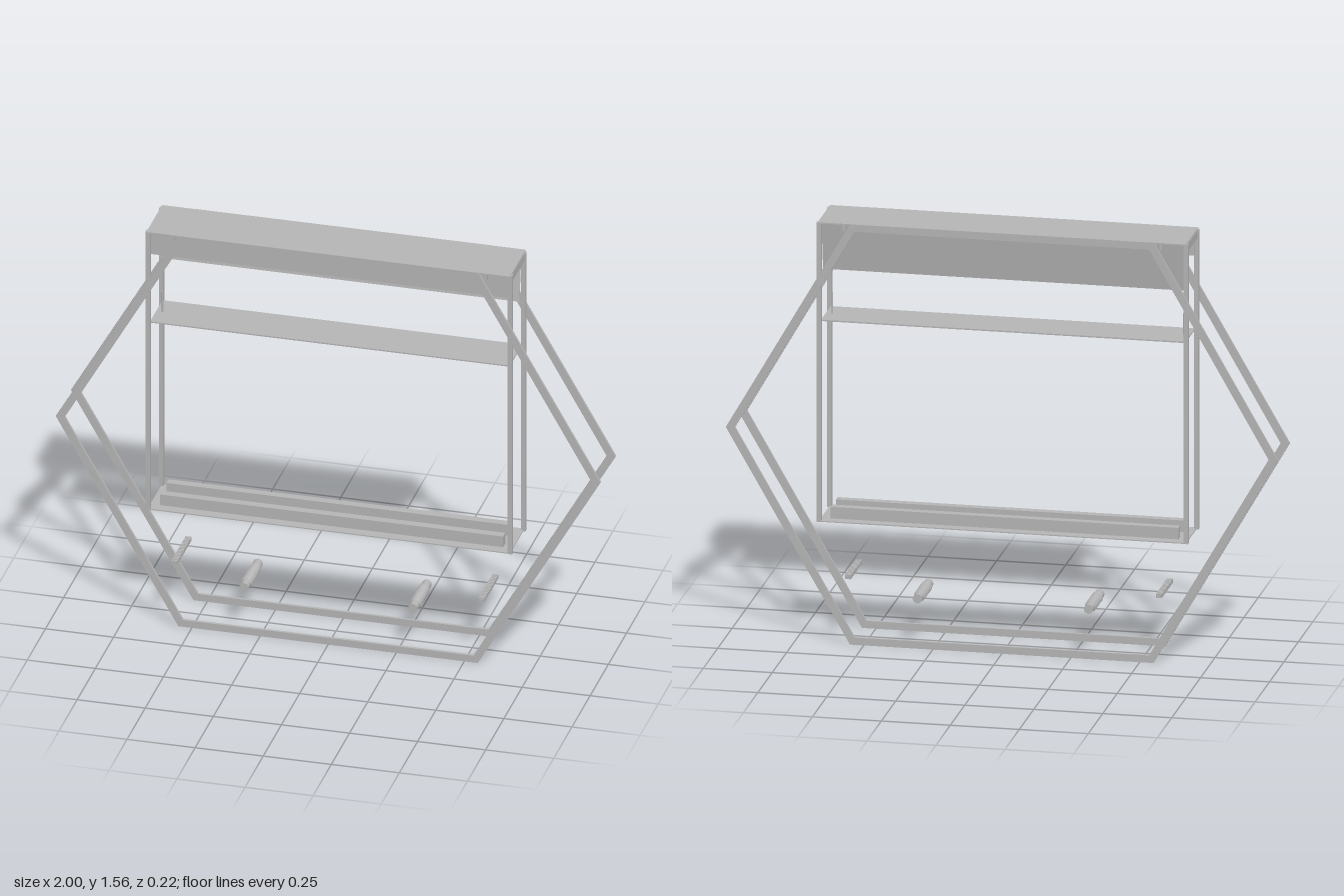
import * as THREE from 'three';

export function createModel() {
  const model = new THREE.Group();
  const grey = new THREE.MeshStandardMaterial({ color: 0xb4b4b4 });
  grey.name = 'metal grey';

  const add = (name, geometry, x = 0, y = 0, z = 0, parent = model) => {
    const mesh = new THREE.Mesh(geometry, grey);
    mesh.name = name;
    mesh.position.set(x, y, z);
    parent.add(mesh);
    return mesh;
  };
  const box = (name, w, h, d, x, y, z, parent) =>
    add(name, new THREE.BoxGeometry(w, h, d), x, y, z, parent);

  // Hexagonal frames, front and back
  const MID = 0.779;
  const hexPoints = (side, corner, half) => [
    [side, 0], [corner, half], [-corner, half], [-side, 0], [-corner, -half], [corner, -half],
  ].map(([x, y]) => new THREE.Vector2(x, y + MID));
  const hexagon = new THREE.Shape(hexPoints(1, 0.55, MID));
  hexagon.holes.push(new THREE.Path(hexPoints(0.967, 0.534, MID - 0.027)));
  const hexGeometry = new THREE.ExtrudeGeometry(hexagon, { depth: 0.01, bevelEnabled: false });
  add('frontHexagonFrame', hexGeometry, 0, 0, 0.099);
  add('backHexagonFrame', hexGeometry, 0, 0, -0.109);

  // Corner posts and top cross bars
  for (const sx of [-1, 1]) {
    for (const sz of [-1, 1]) {
      box('cornerPost', 0.016, 1.11, 0.016, sx * 0.665, 1.0, sz * 0.092);
      // Small hanging tab under the cover
      box('coverTab', 0.012, 0.026, 0.014, sx * 0.575, 1.54, sz * 0.09);
    }
    box('topCrossBar', 0.012, 0.028, 0.17, sx * 0.663, 1.539, 0);
    // Pin standing on the shelf
    add('shelfPin', new THREE.CylinderGeometry(0.003, 0.003, 0.08, 8), sx * 0.637, 1.23, 0);
  }

  // Cover, upright front panel and leaning back panel
  box('topCover', 1.335, 0.005, 0.216, 0, 1.5555, 0);
  box('frontPanel', 1.315, 0.094, 0.003, 0, 1.507, 0.083);
  const leaning = box('leaningBackPanel', 1.315, 0.178, 0.003, 0, 1.461, -0.072);
  leaning.rotation.x = -Math.atan2(0.025, 0.178);

  // Shelf and base plate with its two rails
  box('shelf', 1.32, 0.005, 0.17, 0, 1.188, 0);
  box('basePlate', 1.33, 0.004, 0.196, 0, 0.447, 0);
  for (const sz of [-1, 1]) box('baseRail', 1.26, 0.043, 0.03, 0, 0.47, sz * 0.046);

  // Rollers: smooth ends and a ribbed middle
  for (const x of [-0.312, 0.308]) {
    const profile = [[0, -0.098], [0.017, -0.098], [0.017, -0.06]];
    for (let i = 0; i < 10; i++) {
      const z = -0.06 + i * 0.012;
      profile.push([0.016, z + 0.001], [0.021, z + 0.003], [0.021, z + 0.008], [0.016, z + 0.011]);
    }
    profile.push([0.017, 0.06], [0.017, 0.098], [0, 0.098]);
    const geometry = new THREE.LatheGeometry(profile.map(([r, z]) => new THREE.Vector2(r, z)), 24);
    geometry.rotateX(Math.PI / 2);
    const roller = geometry.toNonIndexed();
    roller.computeVertexNormals();
    add('ribbedRoller', roller, x, 0.181, 0);
  }

  // Toothed strips beside the rollers
  for (const x of [-0.567, 0.56]) {
    const strip = new THREE.Group();
    strip.name = 'toothedStrip';
    strip.position.set(x, 0.246, 0);
    model.add(strip);
    box('stripCore', 0.014, 0.008, 0.196, 0, 0, 0, strip);
    for (let i = 0; i < 18; i++) {
      box('stripTooth', 0.022, 0.015, 0.007, 0, 0, -0.0935 + i * 0.011, strip);
    }
  }

  return model;
}
